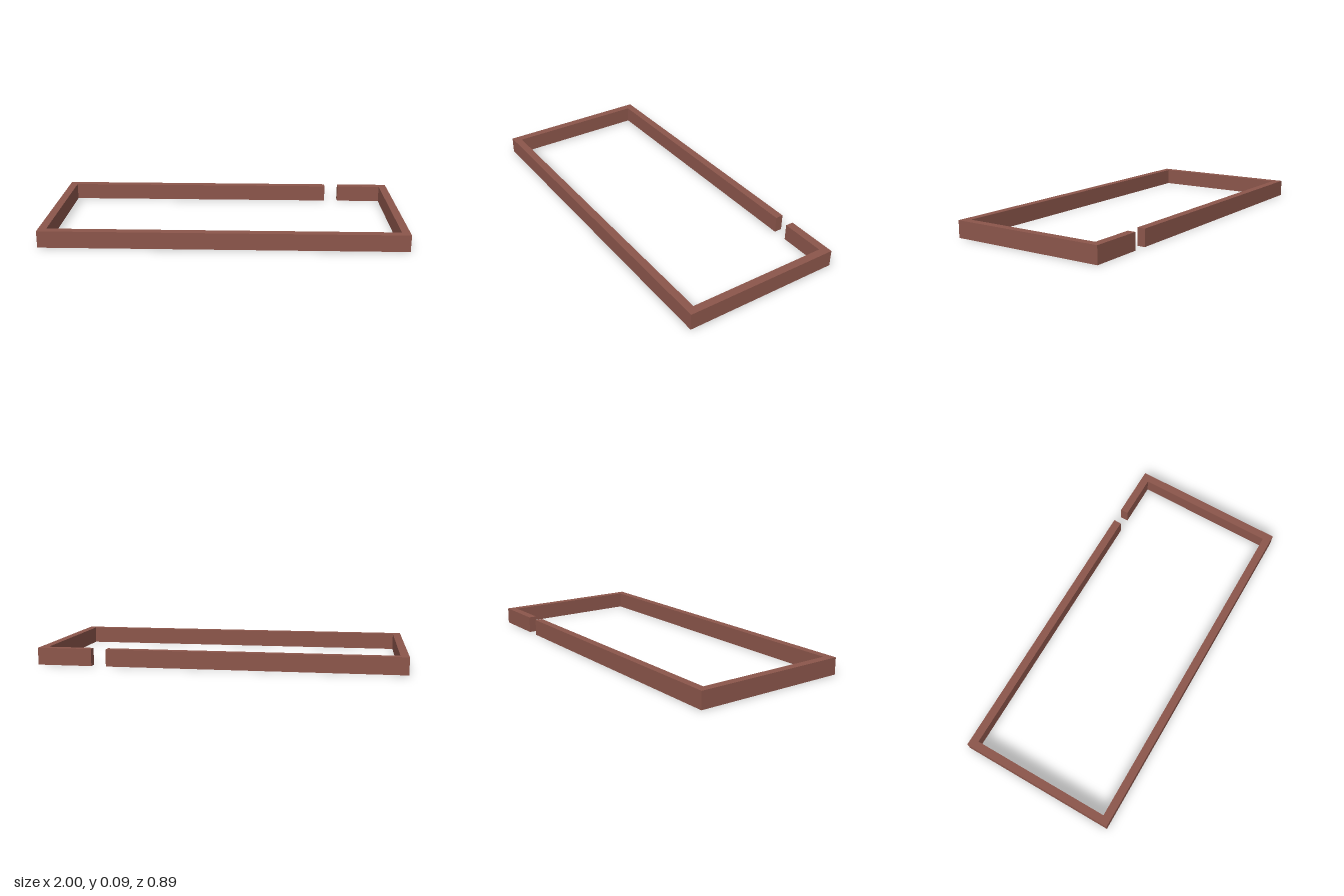
import * as THREE from 'three';

const HALF_X = 1, HALF_Z = 0.447; // outer half sizes
const WALL = 0.045, HEIGHT = 0.094;
const GAP_START = 0.615, GAP_END = 0.697; // opening in the back wall

export function createModel() {
  const model = new THREE.Group();
  model.name = 'walledEnclosure';

  const brown = new THREE.MeshStandardMaterial({ color: 0x8c564b });
  brown.name = 'reddish brown';

  // Plan of the wall as one open ring; shape +y becomes the back (-z)
  const ix = HALF_X - WALL, iz = HALF_Z - WALL;
  const plan = new THREE.Shape([
    [GAP_START, HALF_Z], [-HALF_X, HALF_Z], [-HALF_X, -HALF_Z], [HALF_X, -HALF_Z],
    [HALF_X, HALF_Z], [GAP_END, HALF_Z], [GAP_END, iz], [ix, iz],
    [ix, -iz], [-ix, -iz], [-ix, iz], [GAP_START, iz],
  ].map(([x, y]) => new THREE.Vector2(x, y)));

  // Raise the plan to wall height
  const geometry = new THREE.ExtrudeGeometry(plan, { depth: HEIGHT, bevelEnabled: false });
  geometry.rotateX(-Math.PI / 2);

  const wall = new THREE.Mesh(geometry, brown);
  wall.name = 'perimeterWall';
  model.add(wall);
  return model;
}
